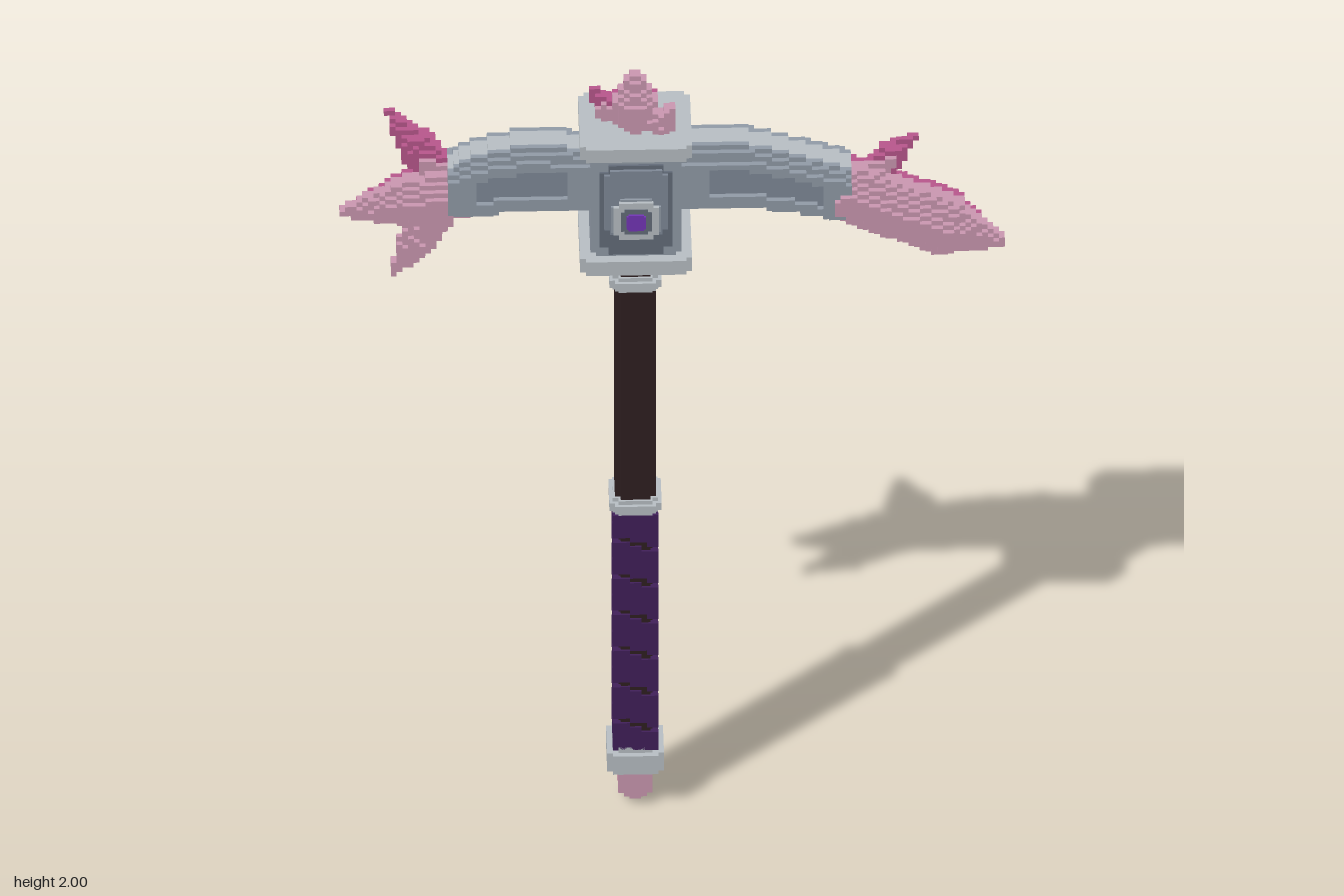
import * as THREE from 'three';
import { mergeGeometries } from 'three/addons/utils/BufferGeometryUtils.js';

const S = 0.0125; // voxel size
const CX = -0.08; // handle axis

const mat = (name, color) => {
  const m = new THREE.MeshStandardMaterial({ color });
  m.name = name;
  return m;
};

export function createModel() {
  const model = new THREE.Group();
  const M = {
    light: mat('light steel', 0xb9c0c5),
    slate: mat('slate steel', 0x929ca8),
    mid: mat('blue grey steel', 0x808a98),
    dark: mat('dark slate', 0x646d7b),
    wood: mat('dark wood', 0x2f2021),
    wrap: mat('purple wrap', 0x41205a),
    gem: mat('violet gem', 0x7436b8),
    pale: mat('pale crystal', 0xcb98b1),
    deep: mat('deep crystal', 0xb9578d),
  };

  const add = (name, geometry, material) => {
    const mesh = new THREE.Mesh(geometry, material);
    mesh.name = name;
    model.add(mesh);
    return mesh;
  };

  // Outer faces of every voxel whose centre lies inside a rule; pick() chooses its colour
  function voxels(name, min, max, inside, pick) {
    const origin = [CX, 0, 0];
    const lo = min.map((v, i) => Math.floor((v - origin[i]) / S));
    const hi = max.map((v, i) => Math.ceil((v - origin[i]) / S));
    const centre = c => c.map((v, i) => origin[i] + (v + 0.5) * S);
    const filled = new Set();
    const cells = [];
    for (let i = lo[0]; i < hi[0]; i++)
      for (let j = lo[1]; j < hi[1]; j++)
        for (let k = lo[2]; k < hi[2]; k++) {
          if (!inside(...centre([i, j, k]))) continue;
          filled.add(`${i},${j},${k}`);
          cells.push([i, j, k]);
        }
    const lists = new Map();
    for (const cell of cells) {
      const material = pick(...centre(cell));
      if (!lists.has(material)) lists.set(material, { pos: [], nor: [] });
      const { pos, nor } = lists.get(material);
      for (let d = 0; d < 3; d++)
        for (const sign of [1, -1]) {
          const next = [...cell];
          next[d] += sign;
          if (filled.has(next.join())) continue;
          const quad = [[0, 0], [1, 0], [1, 1], [0, 1]].map(([a, b]) => {
            const p = [...cell];
            p[d] += sign > 0 ? 1 : 0;
            p[(d + 1) % 3] += a;
            p[(d + 2) % 3] += b;
            return p.map((v, i) => origin[i] + v * S);
          });
          const normal = [0, 0, 0];
          normal[d] = sign;
          for (const q of sign > 0 ? [0, 1, 2, 0, 2, 3] : [0, 2, 1, 0, 3, 2]) {
            pos.push(...quad[q]);
            nor.push(...normal);
          }
        }
    }
    const parts = [...lists.values()].map(({ pos, nor }) => {
      const g = new THREE.BufferGeometry();
      g.setAttribute('position', new THREE.Float32BufferAttribute(pos, 3));
      g.setAttribute('normal', new THREE.Float32BufferAttribute(nor, 3));
      return g;
    });
    return add(name, mergeGeometries(parts, true), [...lists.keys()]);
  }

  // Upright block on the handle axis with square-notched corners
  function block(name, material, hw, hd, y0, y1, notch = S) {
    const parts = [[hw, hd - notch], [hw - notch, hd]].map(([w, d]) =>
      new THREE.BoxGeometry(2 * w, y1 - y0, 2 * d).translate(CX, (y0 + y1) / 2, 0));
    return add(name, mergeGeometries(parts), material);
  }

  // Plate on the front and back of the head, with notched corners
  function plates(name, material, hw, y0, y1, z0, z1, notch = S) {
    for (const side of [1, -1]) {
      const parts = [[hw, y1 - y0 - 2 * notch], [hw - notch, y1 - y0]].map(([w, h]) =>
        new THREE.BoxGeometry(2 * w, h, z1 - z0).translate(CX, (y0 + y1) / 2, side * (z0 + z1) / 2));
      add(name + (side > 0 ? 'Front' : 'Back'), mergeGeometries(parts), material);
    }
  }

  // Faceted crystal from a to b, widest at fraction k
  function spike(a, b, r, k, r0 = r) {
    const A = new THREE.Vector3(...a);
    const D = new THREE.Vector3(...b).sub(A);
    return (x, y, z) => {
      const w = new THREE.Vector3(x, y, z).sub(A);
      const t = w.dot(D) / D.lengthSq();
      if (t < 0 || t > 1) return false;
      w.addScaledVector(D, -t);
      const v = Math.abs(w.z), u = Math.hypot(w.x, w.y);
      const rad = t < k ? r0 + (r - r0) * t / k : r * (1 - t) / (1 - k) + 0.004;
      return Math.max(u, v, 0.74 * (u + v)) < rad;
    };
  }
  const crystal = (name, min, max, spikes, split = -0.01) =>
    voxels(name, min, max, (...p) => spikes.some(s => s(...p)), (x, y, z) => (z < split ? M.deep : M.pale));

  // Pommel
  crystal('pommelCrystal', [-0.14, 0, -0.06], [-0.02, 0.1, 0.06],
    [spike([CX, 0.11, 0], [CX, -0.005, 0], 0.042, 0.6)], 0);
  block('pommelLowerRim', M.light, 0.05, 0.05, 0.095, 0.11);
  block('pommelCollar', M.light, 0.0625, 0.0625, 0.105, 0.155);
  block('pommelUpperRim', M.light, 0.05, 0.05, 0.15, 0.17);

  // Handle
  block('shaft', M.wood, 0.045, 0.045, 0.16, 1.53);
  const pitch = 0.1;
  voxels('gripWrap', [-0.15, 0.175, -0.07], [-0.01, 0.8125, 0.07],
    (x, y, z) => {
      const u = Math.abs(x - CX), v = Math.abs(z);
      if (Math.max(u, v) > 0.056 || u + v > 0.098 || Math.max(u, v) < 0.034) return false;
      const turn = (y - Math.atan2(z, x - CX) * pitch / (2 * Math.PI)) / pitch;
      return turn - Math.floor(turn) > 0.14;
    }, () => M.wrap);
  for (const [name, y] of [['gripCollar', 0.8325], ['neckCollar', 1.45]]) {
    block(name + 'Core', M.light, 0.05, 0.05, y - 0.02, y + 0.02);
    block(name, M.light, 0.0575, 0.0575, y - 0.01, y + 0.01);
  }

  // Head block with end plates
  block('headBottomPlate', M.light, 0.123, 0.105, 1.52, 1.5575);
  block('headBlock', M.slate, 0.1, 0.082, 1.555, 1.835);
  block('headTopPlate', M.light, 0.123, 0.105, 1.8325, 1.8675);
  plates('facePanelBorder', M.dark, 0.08, 1.565, 1.81, 0.08, 0.088, 0.02);
  plates('facePanel', M.mid, 0.07, 1.625, 1.8, 0.086, 0.095, 0.0125);
  plates('gemSurround', M.slate, 0.055, 1.615, 1.725, 0.086, 0.1, 0.02);

  // Gem and its frame
  plates('gemFrame', M.light, 0.05, 1.62, 1.72, 0.098, 0.107, 0.0125);
  plates('gemSocket', M.dark, 0.034, 1.636, 1.704, 0.105, 0.1085, 0.008);
  plates('gem', M.gem, 0.021, 1.649, 1.691, 0.106, 0.114, 0.004);

  // Curved arms: ridged bars following top and bottom edges listed as [x, top, bottom]
  function arm(name, rows, panel0, panel1) {
    const edges = x => {
      let i = 0;
      while (i < rows.length - 2 && x > rows[i + 1][0]) i++;
      const [p, q] = [rows[i], rows[i + 1]];
      const t = (x - p[0]) / (q[0] - p[0]);
      return [p[1] + (q[1] - p[1]) * t, p[2] + (q[2] - p[2]) * t];
    };
    const level = (x, y) => {
      const [top, bottom] = edges(x);
      return Math.abs(y - (top + bottom) / 2) / ((top - bottom) / 2);
    };
    const inPanel = (x, y) => x > panel0 && x < panel1 && level(x, y) < 0.4;
    voxels(name, [rows[0][0], 1.58, -0.07], [rows[rows.length - 1][0], 1.85, 0.07],
      (x, y, z) => {
        const l = level(x, y);
        if (l > 1) return false;
        const d = inPanel(x, y) ? 0.05 : l < 0.68 ? 0.0625 : l < 0.86 ? 0.05 : 0.0375;
        return Math.abs(z) < d;
      },
      (x, y, z) => (inPanel(x, y) ? M.mid : Math.abs(z) < 0.025 ? M.light : M.slate));
  }
  arm('rightArm', [[-0.49, 1.765, 1.635], [-0.43, 1.8, 1.64], [-0.33, 1.825, 1.65], [-0.17, 1.815, 1.655]], -0.43, -0.23);
  arm('leftArm', [[0.01, 1.82, 1.65], [0.17, 1.82, 1.652], [0.27, 1.79, 1.635], [0.39, 1.75, 1.61]], 0.08, 0.33);

  // Crystal blade on the left arm, with a small shard
  crystal('crystalBlade', [0.33, 1.5, -0.09], [0.75, 1.79, 0.09], [
    spike([0.36, 1.685, 0], [0.742, 1.512, 0], 0.07, 0.62),
    spike([0.42, 1.69, -0.01], [0.54, 1.775, -0.055], 0.03, 0.5),
  ]);

  // Crystal cluster on the right arm
  crystal('crystalCluster', [-0.75, 1.46, -0.12], [-0.44, 1.85, 0.12], [
    spike([-0.45, 1.69, 0], [-0.742, 1.625, 0], 0.06, 0.4),
    spike([-0.47, 1.67, 0], [-0.625, 1.835, -0.095], 0.04, 0.55),
    spike([-0.48, 1.69, 0], [-0.617, 1.475, 0.03], 0.04, 0.55),
  ]);

  // Crystal cluster on top of the head
  crystal('topCrystals', [-0.2, 1.8625, -0.08], [0.04, 2, 0.08], [
    spike([CX, 1.85, 0], [CX, 2.01, 0], 0.044, 0.5),
    spike([-0.12, 1.85, -0.02], [-0.175, 1.94, -0.035], 0.028, 0.4),
    spike([-0.035, 1.85, 0.015], [0.01, 1.94, 0.04], 0.028, 0.4),
  ]);

  return model;
}
